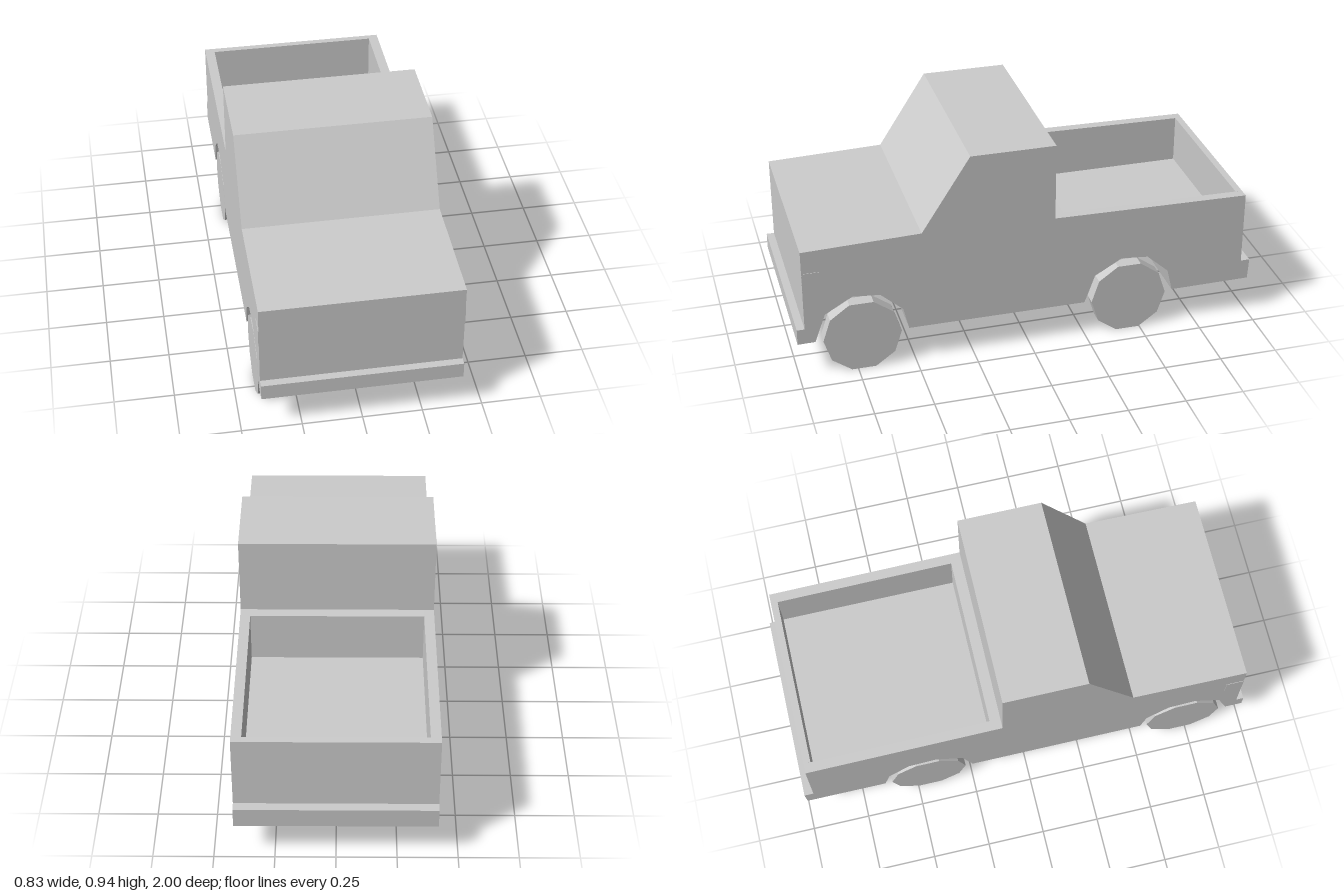
import * as THREE from 'three';

const HALF = 0.415; // half body width
const INNER = 0.372; // half cargo bed width

// Side profile in (z, y), from the front bumper over the roof to the rear bumper
const front = [[1, 0.165], [1, 0.235], [0.967, 0.235], [0.967, 0.6], [0.463, 0.615],
  [0.255, 0.94], [-0.108, 0.94], [-0.108, 0.6]];
const rear = [[-0.96, 0.587], [-0.96, 0.262], [-1, 0.262], [-0.995, 0.17]];

// Cargo bed recess, only cut from the middle of the body
const bed = [[-0.155, 0.599], [-0.155, 0.375], [-0.93, 0.375], [-0.93, 0.588]];

// Underside with the two wheel arches
const arch = [[-0.198, 0.167], [-0.175, 0.265], [-0.08, 0.35], [0.037, 0.36], [0.155, 0.292], [0.2, 0.166]];
const wheelZ = [-0.445, 0.725];
const underside = wheelZ.flatMap((c) => arch.map(([z, y]) => [c + z, y]));

export function createModel() {
  const group = new THREE.Group();
  const material = new THREE.MeshStandardMaterial({ color: 0xcccccc, flatShading: true });

  const add = (name, geometry, x = 0, y = 0, z = 0) => {
    const mesh = new THREE.Mesh(geometry, material);
    mesh.name = name;
    mesh.position.set(x, y, z);
    group.add(mesh);
  };

  // Extrudes a (z, y) profile across x from x0 to x1
  const slab = (points, x0, x1) => {
    const shape = new THREE.Shape(points.map(([z, y]) => new THREE.Vector2(z, y)));
    return new THREE.ExtrudeGeometry(shape, { depth: x1 - x0, bevelEnabled: false })
      .rotateY(-Math.PI / 2)
      .translate(x1, 0, 0);
  };

  // Body: a middle section with the open bed, closed by two full side walls
  const wall = [...front, ...rear, ...underside];
  add('bodyCentre', slab([...front, ...bed, ...rear, ...underside], -INNER, INNER));
  add('leftBodySide', slab(wall, INNER, HALF));
  add('rightBodySide', slab(wall, -HALF, -INNER));

  // Ten-sided wheels resting on a flat side
  const wheel = new THREE.CylinderGeometry(0.167, 0.167, 0.057, 10).rotateZ(Math.PI / 2);
  for (const [side, s] of [['left', 1], ['right', -1]]) {
    add(side + 'RearWheel', wheel, s * 0.385, 0.16, wheelZ[0]);
    add(side + 'FrontWheel', wheel, s * 0.385, 0.16, wheelZ[1]);

    // Thin marker panel at the front corner
    add(side + 'SideMarker', new THREE.BoxGeometry(0.004, 0.08, 0.077), s * HALF, 0.46, 0.928);
  }
  return group;
}
